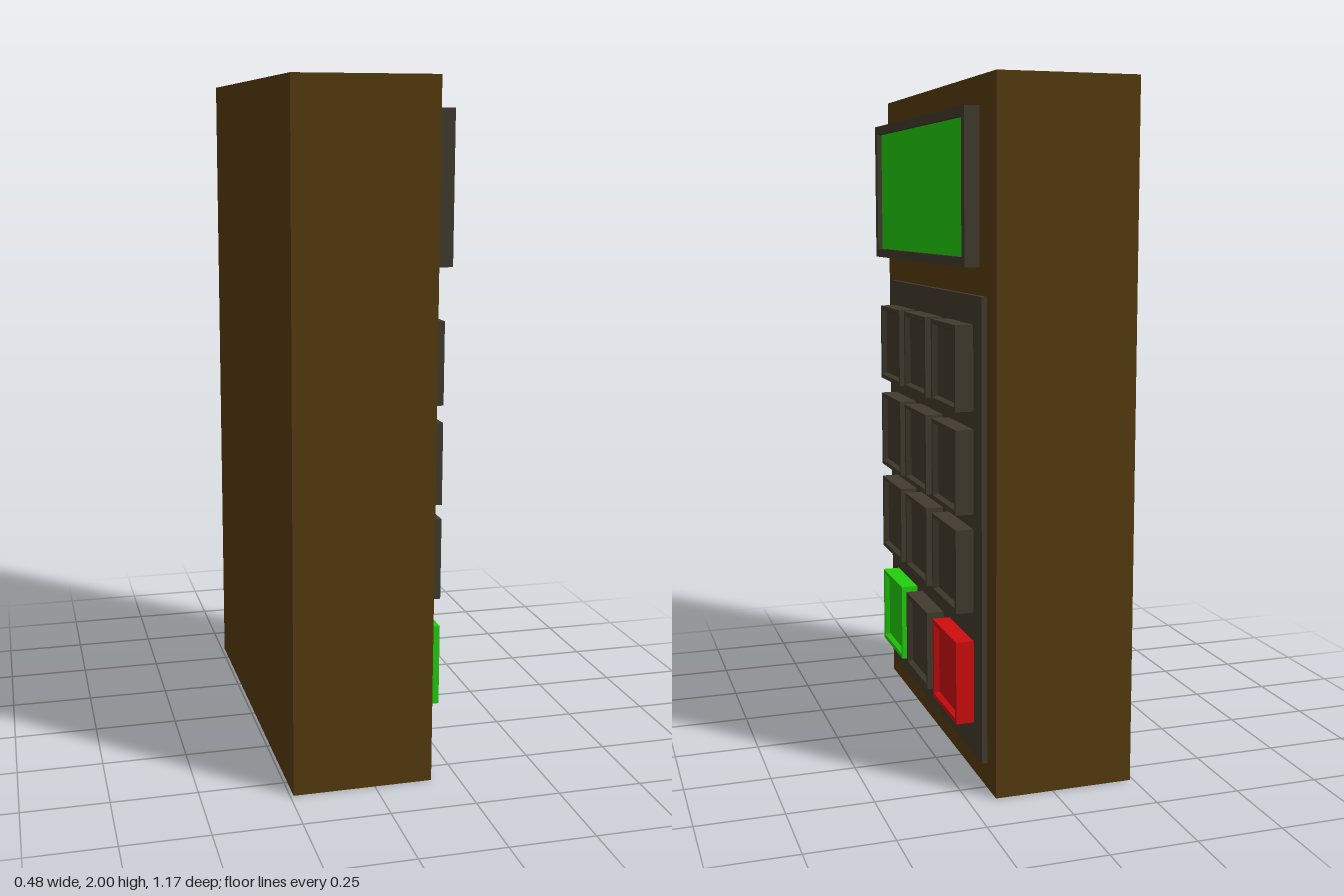
import * as THREE from 'three';

const mat = (name, color) => Object.assign(new THREE.MeshStandardMaterial({ color }), { name });

// Axis-aligned box given by its limits
function block(name, material, x0, x1, y0, y1, z0, z1) {
  const mesh = new THREE.Mesh(new THREE.BoxGeometry(x1 - x0, y1 - y0, z1 - z0), material);
  mesh.position.set((x0 + x1) / 2, (y0 + y1) / 2, (z0 + z1) / 2);
  mesh.name = name;
  return mesh;
}

// Rectangular rings [x, insetY, insetZ] joined by flat walls, facing +x
function dish(name, material, h, w, rings, capBack, capFront) {
  const p = [];
  const corners = rings.map(([x, a, b]) => {
    const y = h / 2 - a, z = w / 2 - b;
    return [[x, -y, z], [x, -y, -z], [x, y, -z], [x, y, z]];
  });
  const quad = (a, b, c, d) => p.push(...a, ...b, ...c, ...a, ...c, ...d);
  for (let i = 0; i + 1 < corners.length; i++) {
    const r = corners[i], s = corners[i + 1];
    for (let k = 0; k < 4; k++) quad(r[k], r[(k + 1) % 4], s[(k + 1) % 4], s[k]);
  }
  if (capFront) quad(...corners[corners.length - 1]);
  if (capBack) quad(...[...corners[0]].reverse());
  const geo = new THREE.BufferGeometry();
  geo.setAttribute('position', new THREE.Float32BufferAttribute(p, 3));
  geo.computeVertexNormals();
  const mesh = new THREE.Mesh(geo, material);
  mesh.name = name;
  return mesh;
}

export function createModel() {
  const casing = mat('brown casing', 0x553b0d);
  const dark = mat('dark plastic', 0x423b2e);
  const green = mat('green', 0x23ce0e);
  const red = mat('red', 0xce0d0e);

  const group = new THREE.Group();
  group.name = 'keypad';

  // Casing and the thin panel under the keys
  group.add(block('casing', casing, -0.24, 0.17, 0, 2, -0.585, 0.585));
  group.add(block('keyPanel', dark, 0.165, 0.186, 0.073, 1.405, -0.505, 0.51));

  // Display frame standing just off the casing, with a sunken screen
  const display = new THREE.Group();
  display.name = 'display';
  display.position.set(0, 1.7, 0.008);
  display.add(dish('displayFrame', dark, 0.43, 1.016,
    [[0.19, 0, 0], [0.233, 0, 0], [0.233, 0.027, 0.028], [0.218, 0.027, 0.028]], true, false));
  display.add(dish('screen', green, 0.376, 0.96, [[0.218, 0, 0]], false, true));
  group.add(display);

  // Keys with a raised rim, in four rows of three
  const rings = [[0.183, 0, 0], [0.239, 0, 0], [0.239, 0.013, 0.013], [0.224, 0.019, 0.019]];
  [0.291, 0.62, 0.907, 1.202].forEach((y, row) => {
    [0.313, 0.006, -0.305].forEach((z, col) => {
      const accent = row === 0 ? [green, dark, red][col] : dark;
      const key = dish(`key${row}${col}`, accent, 0.244, 0.248, rings, true, true);
      key.position.set(0, y, z);
      group.add(key);
    });
  });
  return group;
}
